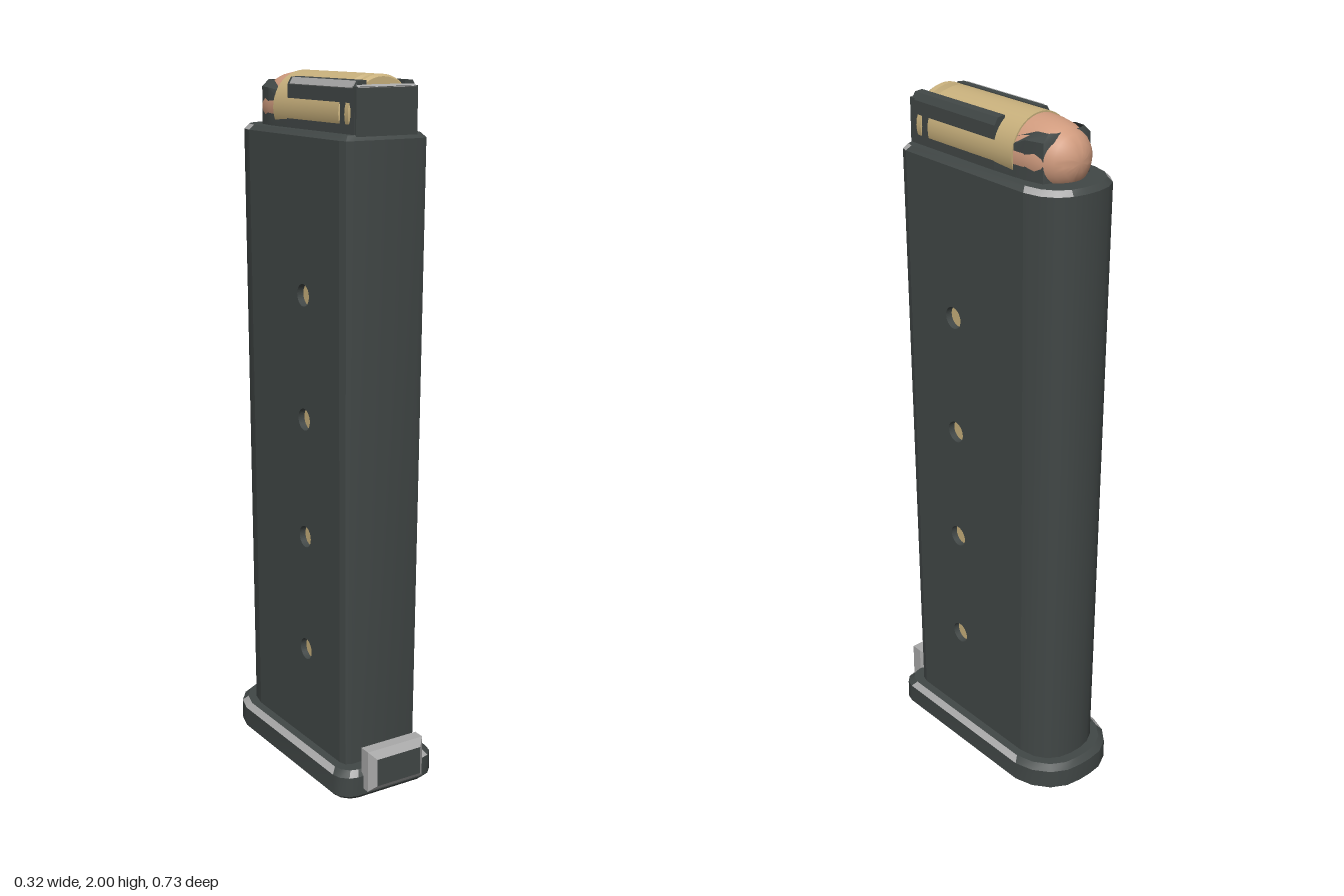
import * as THREE from 'three';
import { toCreasedNormals } from 'three/addons/utils/BufferGeometryUtils.js';

const mat = (name, color, side = THREE.FrontSide) => {
  const m = new THREE.MeshStandardMaterial({ color, side });
  m.name = name;
  return m;
};
const steel = mat('dark steel', 0x414746, THREE.DoubleSide);
const worn = mat('worn edge grey', 0xa8a8a8);
const brass = mat('brass', 0xc8b07c);
const copper = mat('copper', 0xd09b7e);

function add(group, name, geometry, material, x = 0, y = 0, z = 0) {
  const mesh = new THREE.Mesh(geometry, material);
  mesh.name = name;
  mesh.position.set(x, y, z);
  group.add(mesh);
  return mesh;
}

// Full outline from its right half, running front to back.
const mirrorOutline = (half) => [...half, ...half.map(([x, z]) => [-x, z]).reverse()];

// Horizontal slice of an outline, scaled in x and z.
const slice = (outline, y, sx, sz) => outline.map(([x, z]) => [x * sx, y, z * sz]);

// Closed loft through slices; pick(segment, layer) gives 0 steel, 1 worn, -1 open.
function loft(slices, pick) {
  const tris = [[], []];
  const n = slices[0].length;
  for (let k = 0; k < slices.length - 1; k++) {
    for (let i = 0; i < n; i++) {
      const paint = pick(i, k);
      if (paint < 0) continue;
      const j = (i + 1) % n;
      const a = slices[k][i], b = slices[k][j], c = slices[k + 1][j], d = slices[k + 1][i];
      tris[paint].push(...a, ...b, ...c, ...a, ...c, ...d);
    }
  }
  const top = slices[slices.length - 1], bottom = slices[0];
  for (let i = 0; i < n; i++) {
    const j = (i + 1) % n;
    tris[0].push(0, top[0][1], 0, ...top[i], ...top[j]);
    tris[0].push(0, bottom[0][1], 0, ...bottom[j], ...bottom[i]);
  }
  const geo = new THREE.BufferGeometry();
  geo.setAttribute('position', new THREE.Float32BufferAttribute([...tris[0], ...tris[1]], 3));
  geo.addGroup(0, tris[0].length / 3, 0);
  geo.addGroup(tris[0].length / 3, tris[1].length / 3, 1);
  return toCreasedNormals(geo, 0.6);
}

const Y0 = 0.07, Y1 = 1.836;
const taperX = (y) => THREE.MathUtils.mapLinear(y, Y0, Y1, 0.925, 1);
const taperZ = (y) => THREE.MathUtils.mapLinear(y, Y0, Y1, 0.967, 1);
const holeHeights = [0.37, 0.715, 1.06, 1.41];
const holeZ = 0.065;

function addBase(group) {
  const half = [[0.11, 0.322], [0.135, 0.315], [0.155, 0.295], [0.162, 0.27], [0.162, -0.235],
    [0.145, -0.29], [0.11, -0.335], [0.065, -0.36], [0.02, -0.366]];
  const outline = mirrorOutline(half);
  const last = outline.length - 2;
  const wornSegments = [0, 3, last, last - 3, last - 4];
  add(group, 'basePlate', loft([
    slice(outline, 0, 0.93, 0.965), slice(outline, 0.012, 1, 1),
    slice(outline, 0.07, 1, 1), slice(outline, 0.086, 0.91, 0.955),
  ], (i, k) => (k === 2 && wornSegments.includes(i) ? 1 : 0)), [steel, worn]);

  // Bevelled tab with a dark face
  const w = 0.073, h = 0.041;
  const tab = new THREE.Shape([[-w, -h], [w, -h], [w, h], [-w, h]].map((p) => new THREE.Vector2(...p)));
  add(group, 'frontTab', new THREE.ExtrudeGeometry(tab, {
    depth: 0.034, bevelThickness: 0.019, bevelSize: 0.02, bevelSegments: 1,
  }), [steel, worn], 0, 0.092, 0.311);
}

function addBody(group) {
  const half = [[0.105, 0.28], [0.125, 0.272], [0.132, 0.25], [0.132, -0.22], [0.12, -0.27],
    [0.095, -0.305], [0.06, -0.325], [0.02, -0.333]];
  const outline = mirrorOutline(half);
  const last = outline.length - 2;
  const wornSegments = [1, 3, 4, 5, last - 3, last - 4];
  add(group, 'bodyShell', loft([
    slice(outline, Y0, taperX(Y0), taperZ(Y0)), slice(outline, Y1, 1, 1),
    slice(outline, 1.85, 0.91, 0.962),
  ], (i, k) => {
    if (k === 0) return i === 2 || i === last - 2 ? -1 : 0;
    return wornSegments.includes(i) ? 1 : 0;
  }), [steel, worn]);

  // Flat sides with round witness holes, tapered like the shell
  for (const side of [1, -1]) {
    const panel = new THREE.Shape([[0.25, Y0], [-0.22, Y0], [-0.22, Y1], [0.25, Y1]]
      .map(([z, y]) => new THREE.Vector2(-side * z, y)));
    for (const y of holeHeights) {
      panel.holes.push(new THREE.Path().absarc(-side * holeZ, y, 0.031, 0, Math.PI * 2, true));
    }
    const geo = new THREE.ExtrudeGeometry(panel, { depth: 0.022, bevelEnabled: false, curveSegments: 20 });
    geo.translate(0, 0, 0.11).rotateY(side * Math.PI / 2);
    const p = geo.attributes.position;
    for (let i = 0; i < p.count; i++) {
      const y = p.getY(i);
      p.setXYZ(i, p.getX(i) * taperX(y), y, p.getZ(i) * taperZ(y));
    }
    geo.computeVertexNormals();
    add(group, 'sidePanel', geo, steel);

    // Brass showing inside each hole
    for (const y of holeHeights) {
      const disc = new THREE.CylinderGeometry(0.04, 0.04, 0.01, 20).rotateZ(Math.PI / 2);
      add(group, 'holeBrass', disc, brass, side * (0.112 * taperX(y) - 0.005), y, holeZ);
    }
  }
}

function addFeedLips(group) {
  // Side walls folding inward at the top
  for (const side of [1, -1]) {
    const section = new THREE.Shape([[0.097, 1.84], [0.095, 1.965], [0.084, 1.984], [0.06, 1.986],
      [0.06, 1.972], [0.078, 1.962], [0.083, 1.84]].map(([x, y]) => new THREE.Vector2(side * x, y)));
    const geo = new THREE.ExtrudeGeometry(section, { depth: 0.335, bevelEnabled: false });
    add(group, 'feedLip', geo, steel, 0, 0, -0.07);
  }
  add(group, 'frontWall', new THREE.BoxGeometry(0.19, 0.13, 0.018), steel, 0, 1.905, 0.264);

  // Worn bevels on the left-hand lip and front edge
  const strip = add(group, 'wornLipEdge', new THREE.BoxGeometry(0.02, 0.004, 0.31), worn, -0.0905, 1.975, 0.1);
  strip.rotation.z = 1.046;
  const edge = add(group, 'wornFrontEdge', new THREE.BoxGeometry(0.18, 0.004, 0.012), worn, 0, 1.97, 0.268);
  edge.rotation.x = 0.6;

  // Low curved wall around the bullet: x, z, top height, inner x, inner z
  const half = [[0.096, -0.07, 1.94, 0.09, -0.07], [0.095, -0.12, 1.945, 0.086, -0.12],
    [0.092, -0.18, 1.972, 0.064, -0.195], [0.08, -0.235, 1.973, 0.06, -0.232],
    [0.045, -0.248, 1.972, 0.04, -0.24]];
  const stations = [...half, [0, -0.251, 1.973, 0, -0.243],
    ...half.map(([x, z, y, ix, iz]) => [-x, z, y, -ix, iz]).reverse()];
  const rows = stations.map(([x, z, y, ix, iz]) => [[x, 1.84, z], [x, y - 0.02, z], [ix, y, iz]]);
  const verts = [];
  for (let i = 0; i < rows.length - 1; i++) {
    for (let k = 0; k < 2; k++) {
      const a = rows[i][k], b = rows[i + 1][k], c = rows[i + 1][k + 1], d = rows[i][k + 1];
      verts.push(...a, ...b, ...c, ...a, ...c, ...d);
    }
  }
  const geo = new THREE.BufferGeometry();
  geo.setAttribute('position', new THREE.Float32BufferAttribute(verts, 3));
  add(group, 'backWall', toCreasedNormals(geo, 0.5), steel);
}

// Turned part lying along z, from [radius, z] points running back to front
function turned(points) {
  const geo = new THREE.LatheGeometry(points.map((p) => new THREE.Vector2(...p)), 40);
  return toCreasedNormals(geo.rotateX(Math.PI / 2), 0.45);
}

function addCartridge(group) {
  add(group, 'cartridgeCase', turned([[0, -0.14], [0.1, -0.14], [0.1, 0.195], [0.088, 0.207],
    [0.088, 0.219], [0.1, 0.224], [0.1, 0.241], [0.094, 0.252], [0, 0.252]]), brass, 0, 1.9, 0);
  add(group, 'bullet', turned([[0, -0.287], [0.025, -0.284], [0.048, -0.274], [0.066, -0.258],
    [0.08, -0.236], [0.089, -0.208], [0.094, -0.175], [0.096, -0.135]]), copper, 0, 1.9, 0);
}

export function createModel() {
  const model = new THREE.Group();
  model.name = 'magazine';
  for (const [name, build] of [['base', addBase], ['body', addBody],
    ['feedLips', addFeedLips], ['cartridge', addCartridge]]) {
    const part = new THREE.Group();
    part.name = name;
    build(part);
    model.add(part);
  }
  return model;
}
